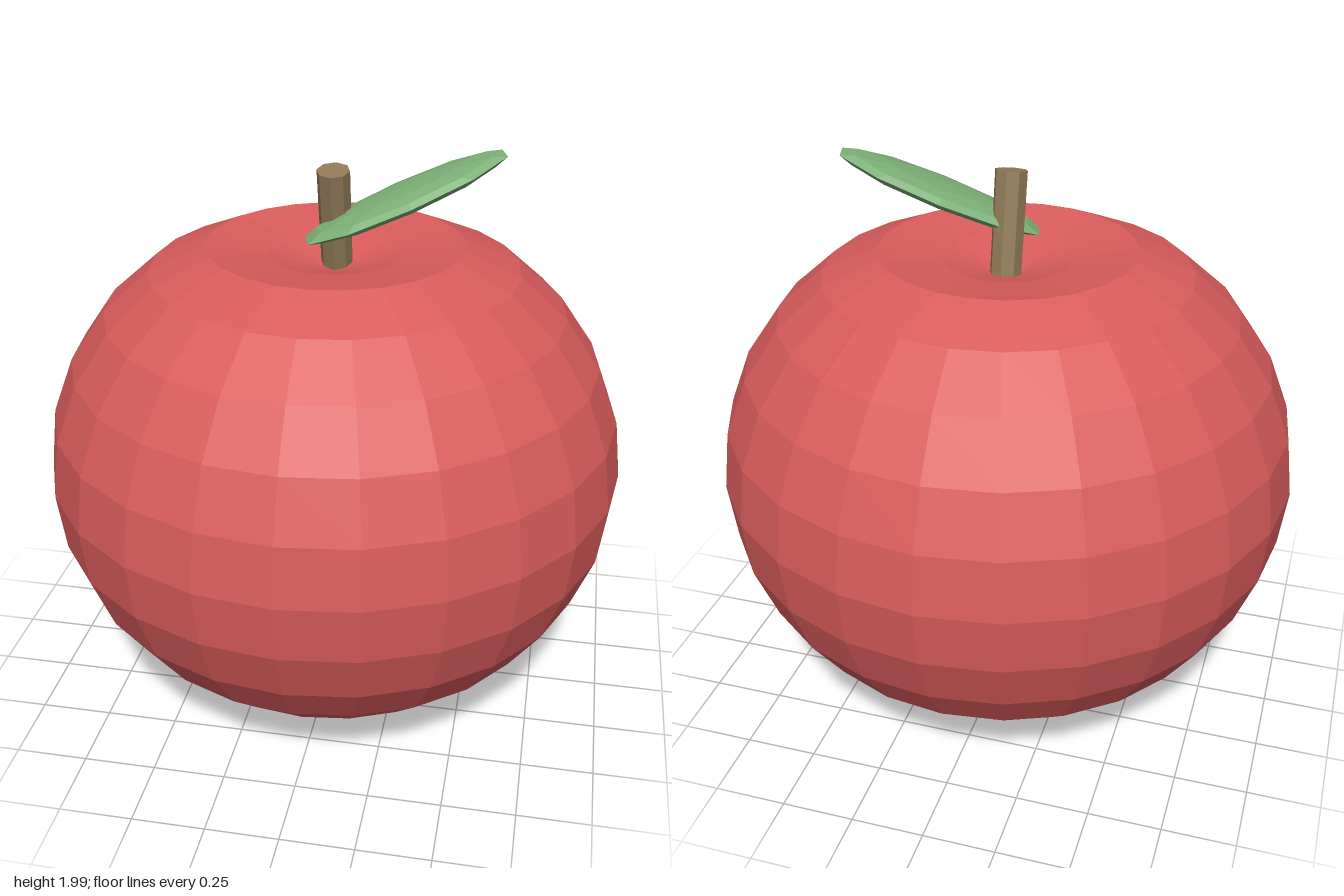
import * as THREE from 'three';

function material(name, color) {
  const m = new THREE.MeshStandardMaterial({ color, flatShading: true });
  m.name = name;
  return m;
}

function part(name, geometry, mat) {
  const mesh = new THREE.Mesh(geometry, mat);
  mesh.name = name;
  return mesh;
}

export function createModel() {
  const group = new THREE.Group();
  group.name = 'apple';

  const red = material('appleRed', 0xda5c5c);
  const brown = material('stemBrown', 0x917a58);
  const green = material('leafGreen', 0x7db077);

  // Fruit: faceted, slightly squashed sphere with a dimple pressed into the top
  const fruit = new THREE.SphereGeometry(1, 24, 14);
  fruit.scale(1, 0.905, 1).translate(0, 0.905, 0);
  const pos = fruit.attributes.position;
  for (let i = 0; i < pos.count; i++) {
    const y = pos.getY(i);
    if (y < 1) continue;
    const r2 = pos.getX(i) ** 2 + pos.getZ(i) ** 2;
    pos.setY(i, y - 0.215 * Math.exp(-10.4 * r2));
  }
  fruit.computeVertexNormals();
  group.add(part('fruit', fruit, red));

  // Stem: eight-sided, leaning forward out of the dimple
  const stem = part('stem', new THREE.CylinderGeometry(0.055, 0.053, 0.45, 8), brown);
  stem.position.set(0, 1.724, -0.012);
  stem.rotation.x = 0.2;
  group.add(stem);

  // Leaf: flattened ten-sided ellipsoid rising towards the left
  const leafShape = new THREE.SphereGeometry(1, 10, 6);
  leafShape.rotateY(Math.PI / 2).scale(0.367, 0.035, 0.134);
  const leaf = part('leaf', leafShape, green);
  leaf.position.set(0.23, 1.858, 0);
  leaf.rotation.set(0, 0.29, 0.4);
  group.add(leaf);

  return group;
}
